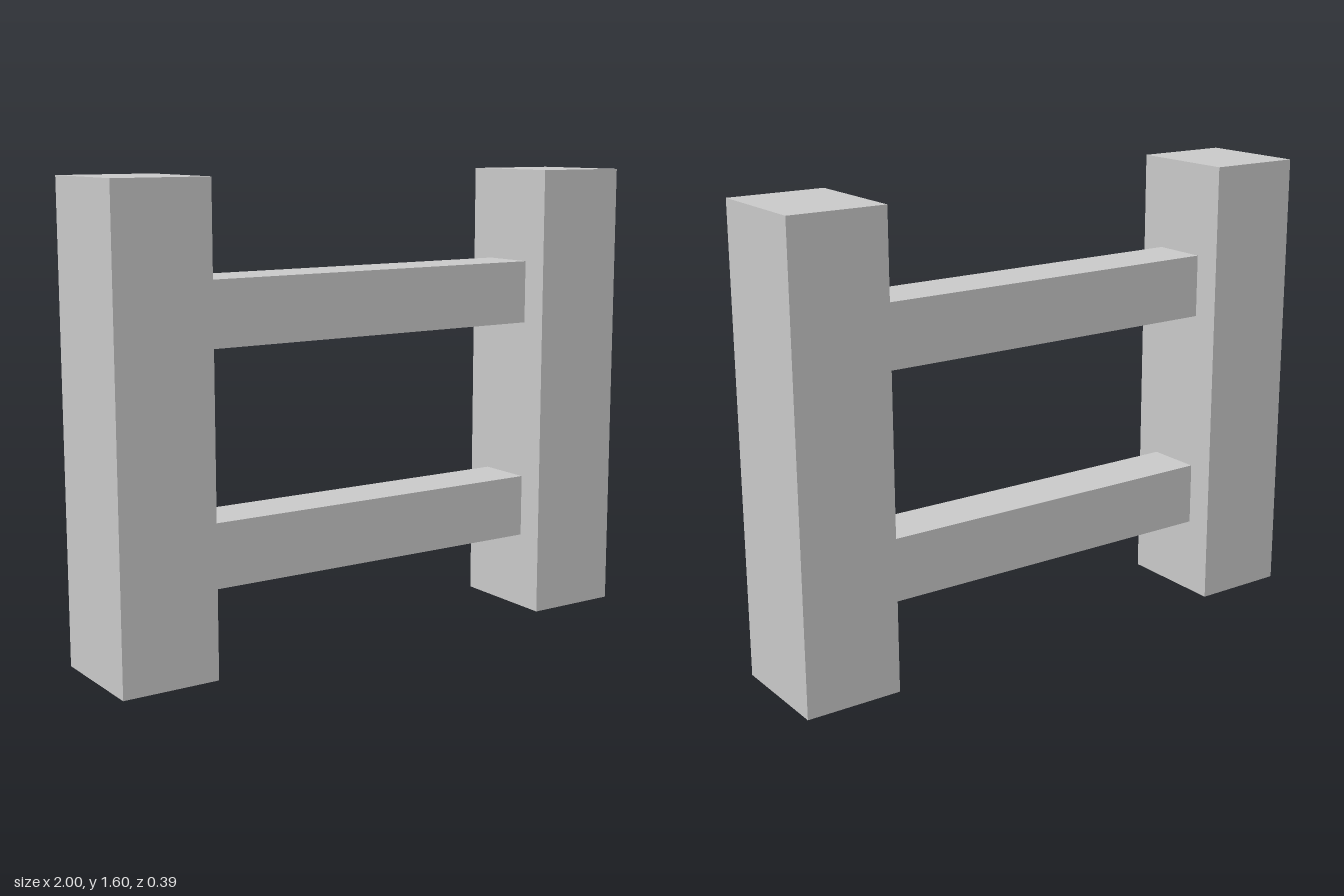
import * as THREE from 'three';

const POST = { width: 0.338, height: 1.6, depth: 0.392 };
const RAIL = { height: 0.22, depth: 0.198, centres: [0.38, 1.166] };

export function createModel() {
  const model = new THREE.Group();
  model.name = 'fence';
  const material = new THREE.MeshStandardMaterial({ color: 0xcccccc, flatShading: true });

  const addBox = (name, width, height, depth, x, y) => {
    const mesh = new THREE.Mesh(new THREE.BoxGeometry(width, height, depth), material);
    mesh.name = name;
    mesh.position.set(x, y, 0);
    model.add(mesh);
  };

  // Two square-cut posts, mirrored about the centre
  for (const [name, side] of [['leftPost', 1], ['rightPost', -1]]) {
    addBox(name, POST.width, POST.height, POST.depth, side * (1 - POST.width / 2), POST.height / 2);
  }

  // Two thinner rails spanning the gap between the posts
  const span = 2 - 2 * POST.width;
  RAIL.centres.forEach((y, i) => {
    addBox(['lowerRail', 'upperRail'][i], span, RAIL.height, RAIL.depth, 0, y);
  });

  return model;
}
